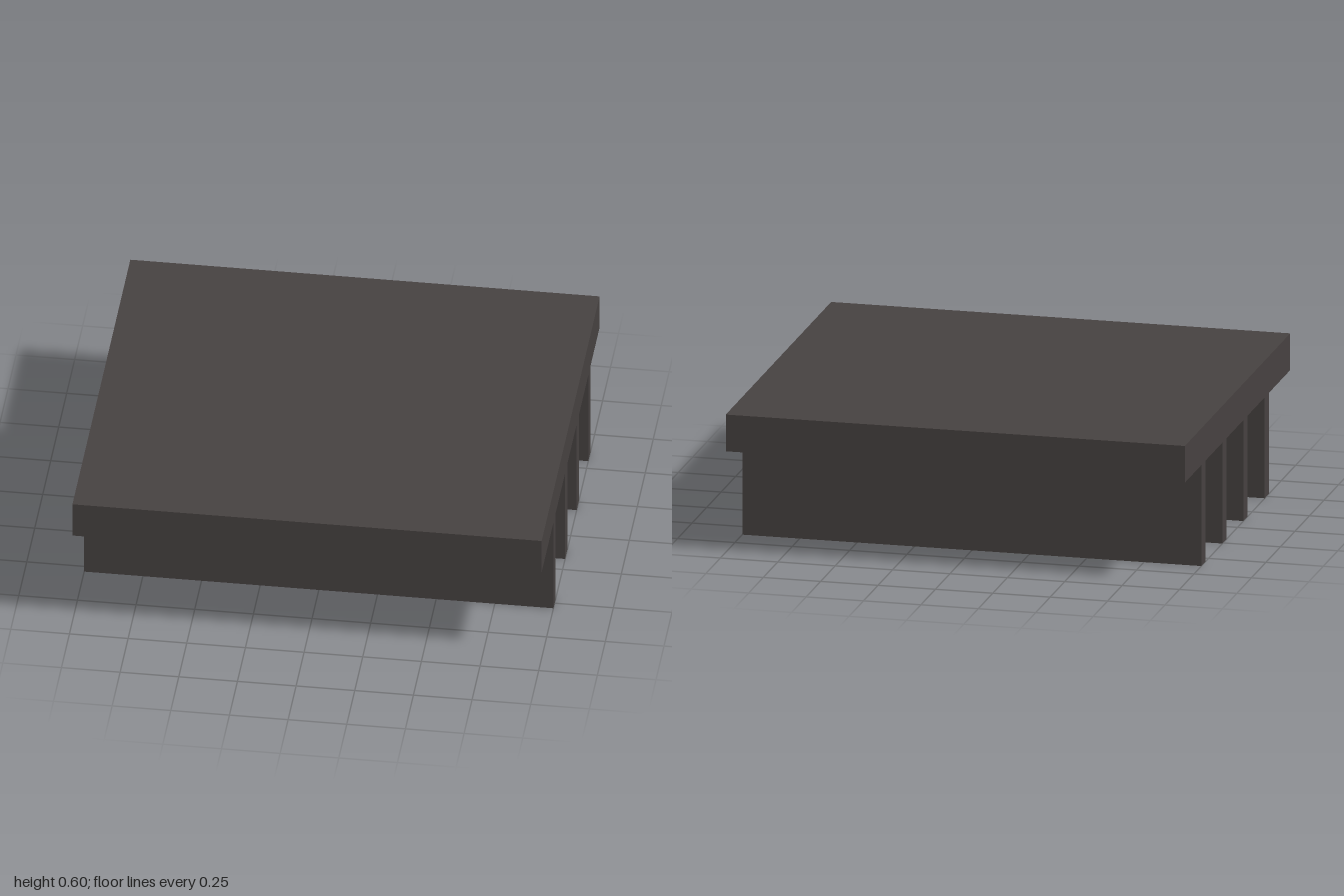
import * as THREE from 'three';

export function createModel() {
  const group = new THREE.Group();
  const charcoal = new THREE.MeshStandardMaterial({ color: 0x464140 });
  charcoal.name = 'charcoal';
  const brown = new THREE.MeshStandardMaterial({ color: 0x60523a });
  brown.name = 'brown';

  // Box given by its minimum and maximum corners
  function addBox(name, material, min, max) {
    const size = max.map((v, i) => v - min[i]);
    const mesh = new THREE.Mesh(new THREE.BoxGeometry(...size), material);
    mesh.position.set(...max.map((v, i) => (v + min[i]) / 2));
    mesh.name = name;
    group.add(mesh);
  }

  // Thick top slab
  addBox('topSlab', charcoal, [-1, 0.443, -0.907], [1, 0.604, 0.907]);

  // Four full-width walls under the slab
  [0.503, 0.137, -0.225, -0.588].forEach((z, i) =>
    addBox(`supportWall${i + 1}`, charcoal, [-1, 0, z - 0.035], [1, 0.443, z + 0.035]));

  // Four blocks fixed to the third wall, in the middle channel
  [0.82, 0.365, -0.19, -0.725].forEach((x, i) =>
    addBox(`block${i + 1}`, brown, [x - 0.077, 0.013, -0.2], [x + 0.077, 0.212, 0.055]));

  return group;
}
